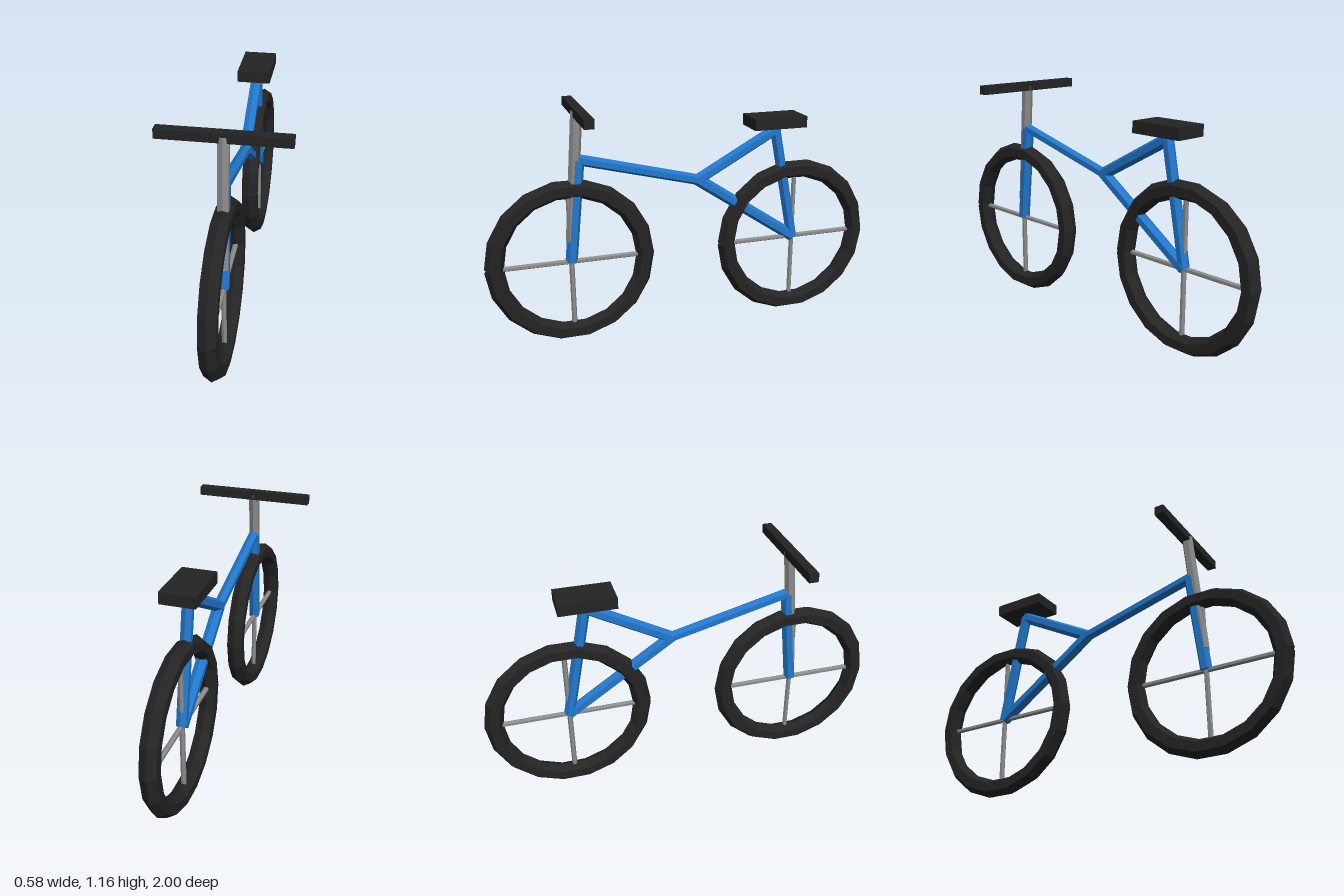
import * as THREE from 'three';

const paint = (color, side = THREE.FrontSide) =>
  new THREE.MeshStandardMaterial({ color, flatShading: true, side });

export function createModel() {
  const bike = new THREE.Group();
  bike.name = 'bicycle';
  const blue = paint(0x2277cc);
  const steel = paint(0x8c8c8c);
  const rubber = paint(0x242424, THREE.DoubleSide);
  const black = paint(0x242424);

  const AXLE_Y = 0.415, AXLE_Z = 0.585;

  const add = (name, geometry, material, parent = bike) => {
    const mesh = new THREE.Mesh(geometry, material);
    mesh.name = name;
    parent.add(mesh);
    return mesh;
  };

  // Six-sided rod in the centre plane between two [z, y] points
  const rod = (name, [z0, y0], [z1, y1], radius, material, parent) => {
    const dz = z1 - z0, dy = y1 - y0;
    const geometry = new THREE.CylinderGeometry(radius, radius, Math.hypot(dz, dy), 6);
    geometry.rotateX(Math.atan2(dz, dy));
    geometry.translate(0, (y0 + y1) / 2, (z0 + z1) / 2);
    return add(name, geometry, material, parent);
  };

  // Tyre: faceted ring whose two end sections lean apart, leaving a small notch at the front
  const R = 0.369, r = 0.046, SEGMENTS = 18, LEAN = Math.PI / SEGMENTS;
  const tyre = new THREE.TorusGeometry(R, r, 6, SEGMENTS);
  const p = tyre.attributes.position;
  for (let i = 0; i < p.count; i++) {
    const column = i % (SEGMENTS + 1);
    if (column !== 0 && column !== SEGMENTS) continue;
    const d = p.getX(i) - R;
    p.setX(i, R + d * Math.cos(LEAN));
    p.setY(i, (column === 0 ? 1 : -1) * d * Math.sin(LEAN));
  }
  tyre.rotateY(-Math.PI / 2);

  // Wheels with crossed spokes
  for (const [name, z] of [['frontWheel', AXLE_Z], ['rearWheel', -AXLE_Z]]) {
    const wheel = new THREE.Group();
    wheel.name = name;
    wheel.position.set(0, AXLE_Y, z);
    add('tyre', tyre, rubber, wheel);
    rod('horizontalSpoke', [-0.345, 0], [0.345, 0], 0.013, steel, wheel);
    rod('verticalSpoke', [0, -0.345], [0, 0.345], 0.013, steel, wheel);
    bike.add(wheel);
  }

  // Frame
  const head = [0.53, 0.92], middle = [-0.06, 0.77], seatTop = [-0.47, 0.995];
  const frontAxle = [AXLE_Z, AXLE_Y], rearAxle = [-AXLE_Z, AXLE_Y];
  rod('fork', frontAxle, head, 0.03, blue);
  rod('topTube', head, middle, 0.027, blue);
  rod('seatTube', middle, seatTop, 0.03, blue);
  rod('chainStay', middle, rearAxle, 0.03, blue);
  rod('seatStay', seatTop, rearAxle, 0.028, blue);

  // Steering stem and handlebar
  rod('stem', [0.58, 0.52], [0.528, 1.15], 0.028, steel);
  add('handlebar', new THREE.BoxGeometry(0.58, 0.044, 0.046), black).position.set(0, 1.147, 0.525);

  // Saddle
  add('saddle', new THREE.BoxGeometry(0.164, 0.056, 0.275), black).position.set(0, 1.041, -0.465);

  return bike;
}
